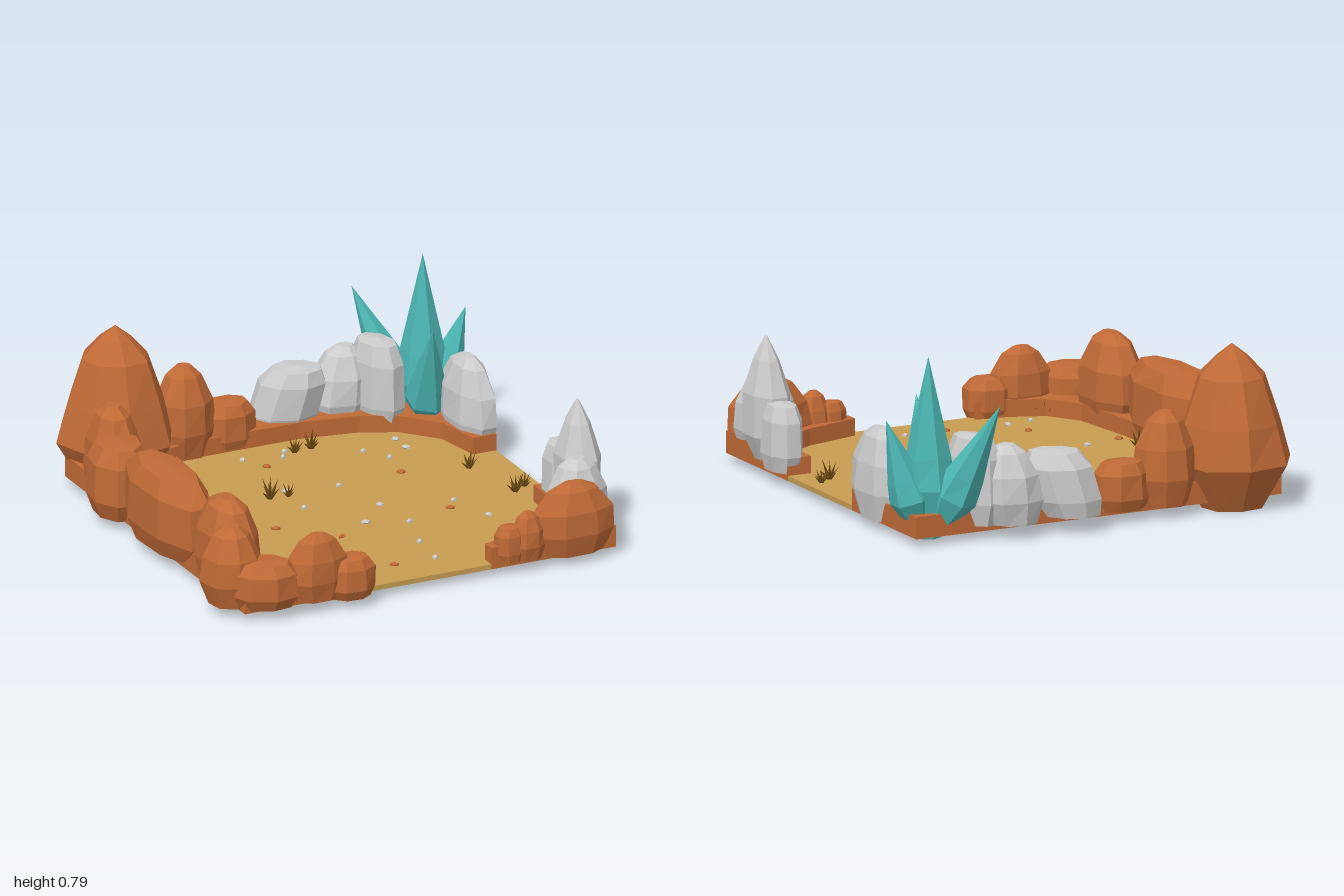
import * as THREE from 'three';

const mat = (color) => new THREE.MeshStandardMaterial({ color, flatShading: true });
const ORANGE = mat(0xc06a36), GREY = mat(0xcccccc), TEAL = mat(0x4db8b5);
const SAND = mat(0xc79c52), BROWN = mat(0x6e4a14);
const UP = new THREE.Vector3(0, 1, 0);

// small seeded generator for facet irregularity
let seed = 7;
const rand = () => (seed = (seed * 16807) % 2147483647) / 2147483647;
const jitter = (k) => 1 + (rand() - 0.5) * k;

// profiles: [height fraction, radius fraction], closed at both ends
const PEAK = [[0, 0], [0, 0.55], [0.28, 1], [0.52, 0.85], [0.8, 0.58], [0.92, 0.28], [1, 0]];
const SPIRE = [[0, 0], [0.02, 0.45], [0.22, 0.95], [0.55, 1], [0.82, 0.55], [1, 0.06], [1, 0]];
const DOME = [[0, 0], [0, 0.75], [0.3, 1], [0.62, 0.92], [0.9, 0.58], [1, 0.25], [1, 0]];
const BLOCK = [[0, 0], [0, 0.78], [0.25, 1], [0.75, 0.96], [0.97, 0.7], [1, 0]];
const SHARD = [[0, 0], [0, 0.4], [0.28, 1], [0.45, 0.82], [1, 0]];

// rings of a profile joined into a faceted solid of unit height
function loft(profile, sides, rough) {
  const pos = [], idx = [];
  const wobble = Array.from({ length: sides }, () => jitter(rough));
  profile.forEach(([t, r]) => {
    for (let i = 0; i < sides; i++) {
      const a = ((i + 0.5) / sides) * Math.PI * 2;
      const q = (r * wobble[i] * jitter(rough)) / Math.cos(Math.PI / sides);
      pos.push(Math.cos(a) * q, t, Math.sin(a) * q);
    }
  });
  for (let j = 0; j < profile.length - 1; j++) {
    for (let i = 0; i < sides; i++) {
      const a = j * sides + i, b = j * sides + ((i + 1) % sides), c = a + sides, d = b + sides;
      if (profile[j][1] > 0) idx.push(a, c, b);
      if (profile[j + 1][1] > 0) idx.push(b, c, d);
    }
  }
  const g = new THREE.BufferGeometry();
  g.setAttribute('position', new THREE.Float32BufferAttribute(pos, 3));
  g.setIndex(idx);
  g.computeVertexNormals();
  return g;
}

function add(parent, name, geometry, material) {
  const m = new THREE.Mesh(geometry, material);
  m.name = name;
  parent.add(m);
  return m;
}

// boulder filling x0..x1, y0..y1, z0..z1, turned by rot, its top shifted by lean
function rock(parent, name, material, profile, [x0, x1], [y0, y1], [z0, z1], rot = 0, lean = [0, 0]) {
  const g = loft(profile, 8, 0.07);
  g.scale((x1 - x0) / 2, y1 - y0, (z1 - z0) / 2);
  const shear = new THREE.Matrix4().makeShear(0, 0, lean[0] / (y1 - y0), lean[1] / (y1 - y0), 0, 0);
  g.applyMatrix4(shear);
  const m = add(parent, name, g, material);
  m.position.set((x0 + x1) / 2, y0, (z0 + z1) / 2);
  m.rotation.y = rot;
}

// raised kerb from an outline in x, z
function kerb(parent, name, points) {
  const shape = new THREE.Shape(points.map(([x, z]) => new THREE.Vector2(x, -z)));
  const g = new THREE.ExtrudeGeometry(shape, { depth: 0.095, bevelEnabled: false });
  g.rotateX(-Math.PI / 2).translate(0, 0.035, 0);
  add(parent, name, g, ORANGE);
}

// slender crystal from base to tip
function crystal(parent, base, tip, r) {
  const a = new THREE.Vector3(...base), d = new THREE.Vector3(...tip).sub(a);
  const m = add(parent, 'crystal', loft(SHARD, 6, 0.1).scale(r, d.length(), r), TEAL);
  m.position.copy(a);
  m.quaternion.setFromUnitVectors(UP, d.normalize());
}

// dry grass: pointed blades fanning outward
function tuft(parent, x, z, s) {
  const t = new THREE.Group();
  t.name = 'grassTuft';
  t.position.set(x, 0.055, z);
  for (let i = 0; i < 8; i++) {
    const h = s * (i % 2 ? 0.085 : 0.065) * jitter(0.3);
    const g = new THREE.ConeGeometry(0.009 * s, h, 4).translate(0, h / 2, 0);
    const b = add(t, 'blade', g, BROWN);
    b.rotation.set(0, (i / 8) * Math.PI * 2 + rand() * 0.4, -(i % 2 ? 0.35 : 0.85), 'YXZ');
  }
  parent.add(t);
}

export function createModel() {
  seed = 7;
  const model = new THREE.Group();
  model.name = 'desertArena';

  // sand floor
  add(model, 'sandFloor', new THREE.BoxGeometry(1.726, 0.022, 1.716), SAND).position.set(0.015, 0.045, 0.04);

  // kerbs: one wraps the back and its corners, one the front left corner
  kerb(model, 'mainKerb', [
    [-0.28, 0.9], [-0.85, 0.9], [-0.85, -0.82], [0.88, -0.82], [0.88, -0.24], [0.77, -0.24], [0.73, -0.45],
    [0.6, -0.6], [0.45, -0.67], [0.2, -0.715], [-0.3, -0.715], [-0.5, -0.68], [-0.65, -0.55], [-0.72, -0.25],
    [-0.7, 0.3], [-0.66, 0.63], [-0.57, 0.77], [-0.42, 0.83], [-0.28, 0.85]]);
  kerb(model, 'cornerKerb', [
    [0.3, 0.9], [0.3, 0.84], [0.55, 0.77], [0.68, 0.7], [0.76, 0.6], [0.77, 0.34], [0.88, 0.34], [0.88, 0.9]]);

  // orange boulders
  const red = new THREE.Group();
  red.name = 'orangeRocks';
  model.add(red);
  rock(red, 'tallPeak', ORANGE, PEAK, [-0.87, -0.41], [0, 0.7], [-1, -0.54], 0.25);
  rock(red, 'backBoulder', ORANGE, DOME, [-0.43, -0.19], [0.05, 0.45], [-0.91, -0.68]);
  rock(red, 'backLowBoulder', ORANGE, BLOCK, [-0.23, 0.01], [0.05, 0.26], [-0.88, -0.7]);
  rock(red, 'sideBackBoulder', ORANGE, DOME, [-0.88, -0.66], [0.05, 0.45], [-0.68, -0.38], -0.1);
  rock(red, 'sideBackLowBoulder', ORANGE, BLOCK, [-0.95, -0.7], [0.04, 0.36], [-0.52, -0.2], -0.15);
  rock(red, 'longBoulder', ORANGE, BLOCK, [-0.925, -0.685], [0.05, 0.4], [-0.24, 0.4]);
  rock(red, 'sideFrontBoulder', ORANGE, DOME, [-0.89, -0.66], [0.05, 0.44], [0.38, 0.78]);
  rock(red, 'cornerBoulder', ORANGE, DOME, [-0.96, -0.72], [0.04, 0.38], [0.62, 0.88], 0.2);
  rock(red, 'cornerLowBoulder', ORANGE, BLOCK, [-0.89, -0.6], [0.05, 0.25], [0.76, 0.97], -0.45);
  rock(red, 'frontBoulder', ORANGE, DOME, [-0.65, -0.38], [0.05, 0.34], [0.82, 0.97]);
  rock(red, 'frontLowBoulder', ORANGE, BLOCK, [-0.47, -0.26], [0.04, 0.22], [0.83, 0.99], -0.1);
  rock(red, 'farFrontBoulder', ORANGE, DOME, [0.51, 0.88], [0.04, 0.35], [0.78, 0.96]);
  rock(red, 'farFrontMidBoulder', ORANGE, DOME, [0.4, 0.55], [0.05, 0.26], [0.83, 0.94]);
  rock(red, 'farFrontLowBoulder', ORANGE, BLOCK, [0.33, 0.46], [0.05, 0.21], [0.83, 0.93]);

  // grey boulders
  const grey = new THREE.Group();
  grey.name = 'greyRocks';
  model.add(grey);
  rock(grey, 'leaningBoulder', GREY, BLOCK, [0.01, 0.3], [0.07, 0.35], [-0.97, -0.74], -0.35, [0.08, 0.02]);
  rock(grey, 'backGreyBoulder', GREY, DOME, [0.29, 0.56], [0.06, 0.4], [-0.94, -0.72], -0.3, [0.03, 0]);
  rock(grey, 'backGreyTallBoulder', GREY, BLOCK, [0.48, 0.65], [0.06, 0.44], [-0.88, -0.6], 0.3);
  rock(grey, 'sideGreyBoulder', GREY, DOME, [0.75, 0.92], [0.04, 0.43], [-0.6, -0.24], 0.08);
  rock(grey, 'greySpire', GREY, SPIRE, [0.76, 0.93], [0.06, 0.6], [0.48, 0.73]);
  rock(grey, 'greyStep', GREY, BLOCK, [0.78, 0.93], [0.06, 0.35], [0.33, 0.56]);
  rock(grey, 'greyCornerBoulder', GREY, DOME, [0.64, 0.89], [0.06, 0.41], [0.66, 0.87]);

  // crystal cluster
  const crystals = new THREE.Group();
  crystals.name = 'crystalCluster';
  model.add(crystals);
  crystal(crystals, [0.77, 0.01, -0.72], [0.77, 0.79, -0.72], 0.1);
  crystal(crystals, [0.75, 0.04, -0.74], [0.55, 0.6, -0.95], 0.085);
  crystal(crystals, [0.8, 0.05, -0.71], [0.955, 0.53, -0.69], 0.085);
  crystal(crystals, [0.76, 0.04, -0.68], [0.68, 0.56, -0.44], 0.085);

  // grass tufts
  [[0.11, -0.59, 0.9], [0.19, -0.6, 1], [-0.21, -0.17, 1.1], [-0.13, -0.16, 0.7], [0.69, -0.11, 0.9],
    [-0.66, 0.11, 1], [0.75, 0.21, 1], [0.81, 0.17, 0.8], [-0.57, 0.79, 0.8]]
    .forEach(([x, z, s]) => tuft(model, x, z, s));

  // pebbles scattered on the sand
  const pebbles = new THREE.Group();
  pebbles.name = 'pebbles';
  model.add(pebbles);
  const scatter = (spots, material) => spots.forEach(([x, z]) => {
    const p = add(pebbles, 'pebble', new THREE.DodecahedronGeometry(0.018), material);
    p.scale.set(0.65 * jitter(0.3), 0.6, 1.05 * jitter(0.3));
    p.position.set(x, 0.06, z);
    p.rotation.y = rand() * Math.PI;
  });
  scatter([[-0.07, -0.49], [-0.46, -0.36], [0.41, -0.19], [-0.34, 0.15], [-0.13, 0.35], [0.42, 0.26],
    [-0.38, 0.57], [-0.65, 0.27], [-0.07, 0.73]], ORANGE);
  scatter([[-0.13, -0.6], [0.07, -0.61], [0.04, -0.56], [0.37, -0.47], [0.55, -0.53], [0.55, -0.43], [0.44, -0.36],
    [-0.6, -0.27], [-0.46, -0.19], [-0.12, -0.21], [0.11, -0.17], [-0.13, -0.01], [0.17, 0.1], [0.47, 0.19],
    [-0.48, 0.23], [0.03, 0.25], [0.2, 0.32], [0.53, 0.4], [0.14, 0.54], [-0.35, 0.7], [-0.47, 0.72],
    [0.12, 0.73]], GREY);

  return model;
}
